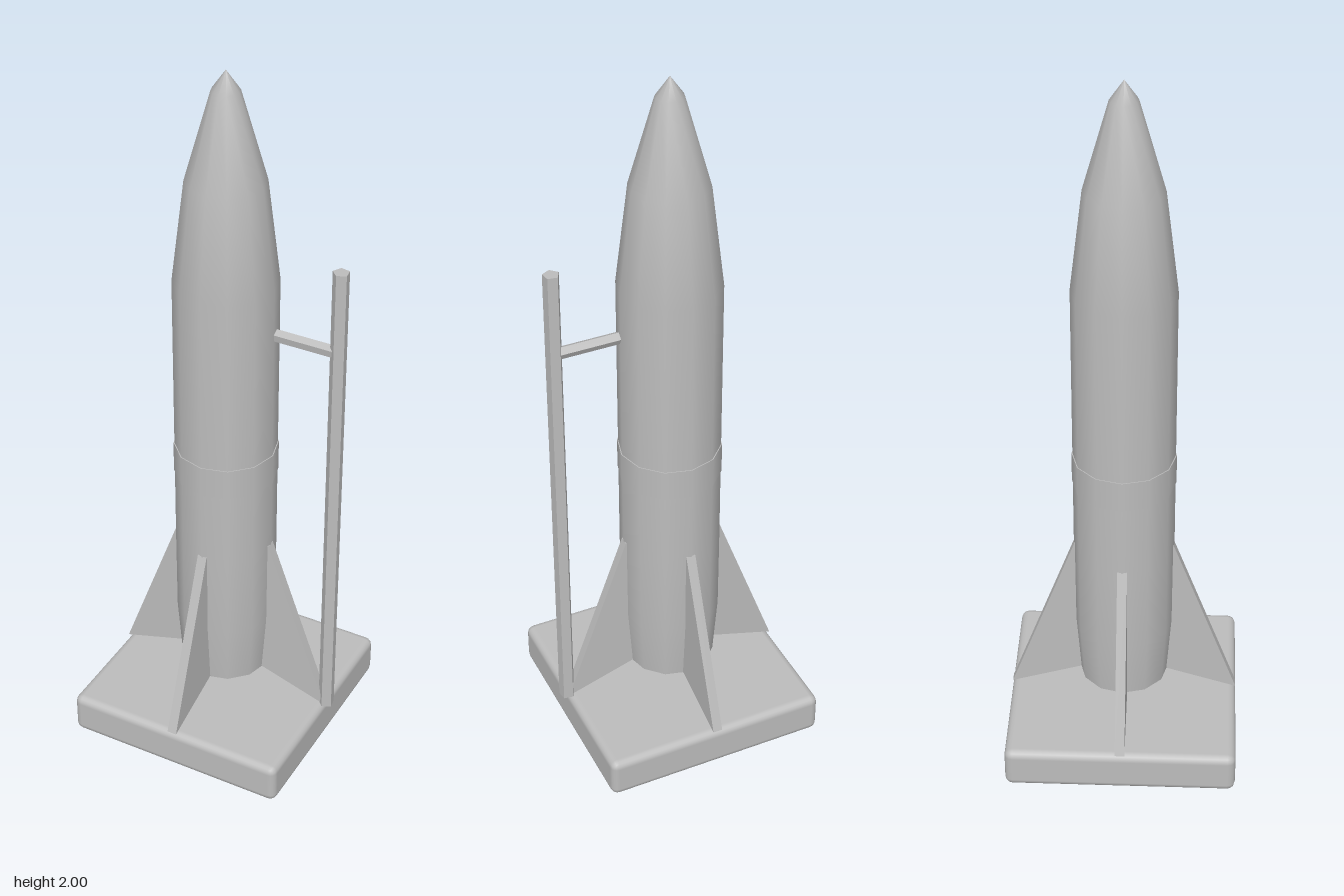
import * as THREE from 'three';
import { RoundedBoxGeometry } from 'three/addons/geometries/RoundedBoxGeometry.js';

const AXIS_X = -0.012; // the rocket stands slightly off centre, beside the tower

export function createModel() {
  const model = new THREE.Group();
  const grey = new THREE.MeshStandardMaterial({ color: 0xbcbcbc });
  grey.name = 'plain grey';
  const greyFlat = grey.clone();
  greyFlat.flatShading = true;

  const add = (name, geometry, parent, material = grey) => {
    const mesh = new THREE.Mesh(geometry, material);
    mesh.name = name;
    parent.add(mesh);
    return mesh;
  };
  const lathe = (points) =>
    new THREE.LatheGeometry(points.map(([r, y]) => new THREE.Vector2(r, y)), 12);

  // Launch pad
  add('launchPad', new RoundedBoxGeometry(0.643, 0.12, 0.643, 2, 0.022), model)
    .position.set(AXIS_X, 0.06, 0);

  const rocket = new THREE.Group();
  rocket.name = 'rocket';
  rocket.position.x = AXIS_X;
  model.add(rocket);

  // Hull with tapered tail and pointed nose
  add('hull', lathe([
    [0.125, 0.182], [0.138, 0.36], [0.139, 0.6], [0.139, 1.42],
    [0.105, 1.705], [0.037, 1.947], [0, 2],
  ]), rocket);
  add('tailCone', lathe([[0, 0.153], [0.125, 0.182]]), rocket);

  // Raised band around the middle
  add('band', lathe([[0.137, 0.828], [0.1415, 0.828]]), rocket);
  add('band', lathe([[0.1415, 0.828], [0.1415, 0.917]]), rocket);
  add('band', lathe([[0.1415, 0.917], [0.137, 0.917]]), rocket);

  // Four swept fins
  const outline = new THREE.Shape([
    [0.11, 0.187], [0.321, 0.122], [0.138, 0.62], [0.11, 0.62],
  ].map(([x, y]) => new THREE.Vector2(x, y)));
  const finGeometry = new THREE.ExtrudeGeometry(outline, { depth: 0.027, bevelEnabled: false });
  finGeometry.translate(0, 0, -0.0135);
  for (let i = 0; i < 4; i++) {
    add('fin', finGeometry, rocket).rotation.y = i * Math.PI / 2;
  }

  // Service tower: five-sided mast and arm
  const tower = new THREE.Group();
  tower.name = 'serviceTower';
  model.add(tower);
  const mast = new THREE.CylinderGeometry(0.0225, 0.0225, 1.41, 5);
  mast.rotateY(-0.17);
  add('mast', mast, tower, greyFlat).position.set(0.31, 0.825, 0);

  const arm = new THREE.CylinderGeometry(0.0172, 0.0172, 0.17, 5, 1, false, Math.PI / 2 + 0.15);
  arm.rotateZ(Math.PI / 2);
  add('arm', arm, tower, greyFlat).position.set(0.218, 1.295, -0.002);

  return model;
}
